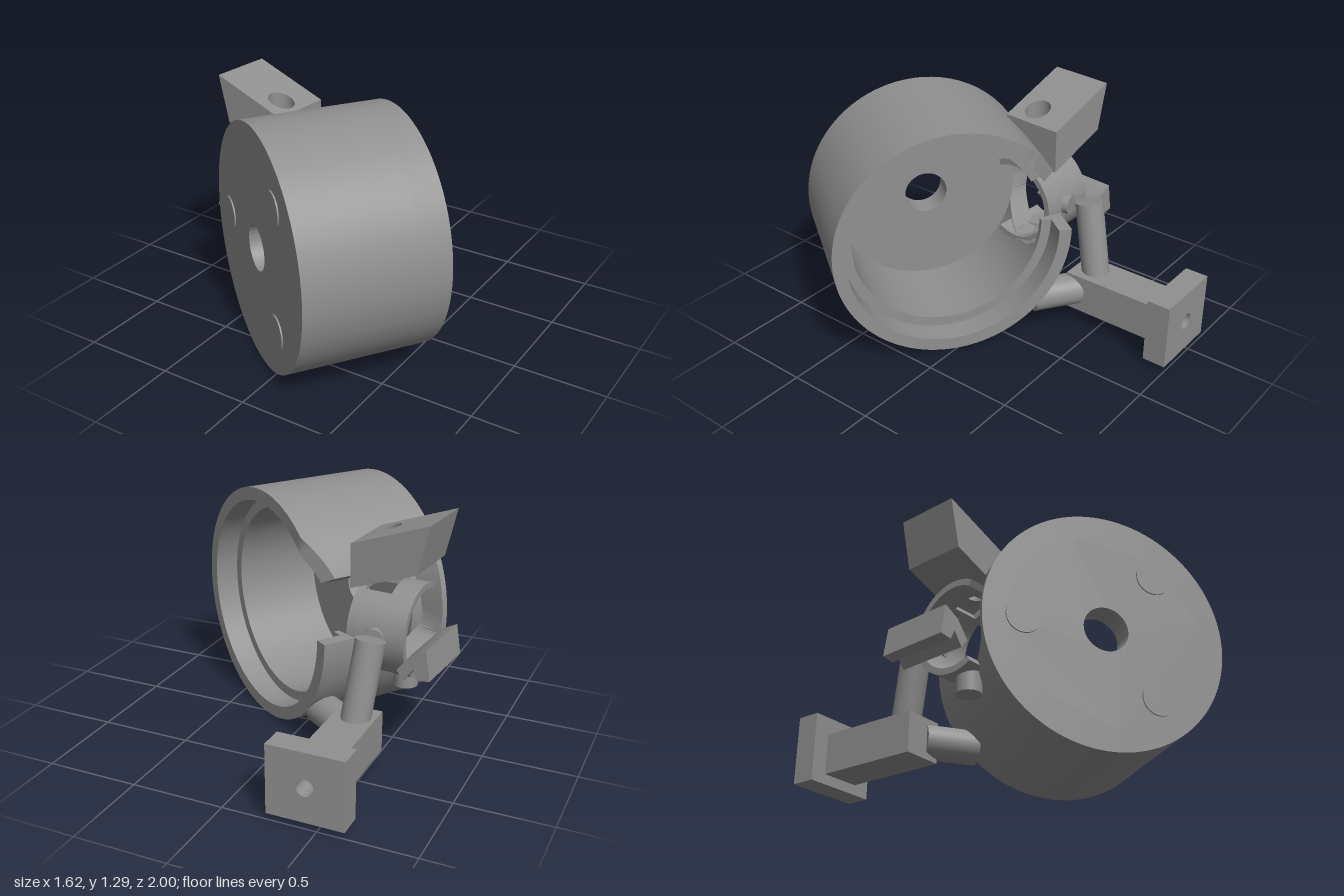
import * as THREE from 'three';
import { toCreasedNormals } from 'three/addons/utils/BufferGeometryUtils.js';

const grey = new THREE.MeshStandardMaterial({ color: 0x909090 });
grey.name = 'plain grey';

function add(parent, name, geometry) {
  const mesh = new THREE.Mesh(geometry, grey);
  mesh.name = name;
  parent.add(mesh);
  return mesh;
}

// Round bar between two points
function rod(parent, name, a, b, radius) {
  const p = new THREE.Vector3(...a), q = new THREE.Vector3(...b);
  const mesh = add(parent, name, new THREE.CylinderGeometry(radius, radius, p.distanceTo(q), 48));
  mesh.position.copy(p).lerp(q, 0.5);
  mesh.quaternion.setFromUnitVectors(new THREE.Vector3(0, 1, 0), q.sub(p).normalize());
}

function rectShape(w, h) {
  return new THREE.Shape([[-1, -1], [1, -1], [1, 1], [-1, 1]].map(([x, y]) => new THREE.Vector2(x * w / 2, y * h / 2)));
}

function withHole(shape, x, y, r) {
  shape.holes.push(new THREE.Path().absarc(x, y, r, 0, Math.PI * 2, true));
  return shape;
}

const extrude = (shape, depth) => toCreasedNormals(
  new THREE.ExtrudeGeometry(shape, { depth, bevelEnabled: false, curveSegments: 120 }), 0.5);

// Joins closed cross-sections, each a list of [x, y, z] points
function loft(sections) {
  const n = sections[0].length, pos = [];
  for (let i = 0; i < sections.length - 1; i++) {
    for (let j = 0; j < n; j++) {
      const k = (j + 1) % n, a = sections[i], b = sections[i + 1];
      pos.push(...a[j], ...b[j], ...a[k], ...a[k], ...b[j], ...b[k]);
    }
  }
  const g = new THREE.BufferGeometry();
  g.setAttribute('position', new THREE.Float32BufferAttribute(pos, 3));
  return toCreasedNormals(g, 0.5);
}

// A section shrunk to one point closes an end
const collapsed = section => section.map(() => section[0]);

// Cup dimensions; depth s runs from the closed face to the rim
const R = 0.645, INNER = 0.52, RIM = 0.575, DEPTH = 0.763, STEP = 0.63, FLOOR = 0.135;
const SIN = 0.571, COS = 0.821, FACE_Z = 0.627;
const clamp = THREE.MathUtils.clamp;

// Depth at which a wall line meets the world plane z
const depthAt = (r, phi, z) => (FACE_Z - SIN * r * Math.cos(phi) - z) / COS;

// Edges of the round side opening along one wall line
function opening(r, phi) {
  const dy = r * Math.sin(phi) - 0.025;
  const h = Math.cos(phi) > 0 ? Math.sqrt(Math.max(0, 0.0625 - dy * dy)) : 0;
  return [h, -h].map(d => clamp(depthAt(r, phi, 0.03 + d), 0.03, 0.6));
}

function buildCup() {
  const cup = new THREE.Group();
  cup.name = 'cup';
  cup.position.set(-0.162, R, FACE_Z);
  cup.rotation.y = -Math.atan2(SIN, COS);

  add(cup, 'floor', extrude(withHole(new THREE.Shape().absarc(0, 0, INNER, 0, Math.PI * 2), 0, 0, 0.12), FLOOR))
    .position.z = -FLOOR;

  // The wall is a front part and a rim part, parted by the side opening
  const front = [], rim = [];
  const section = (phi, upper, open) => {
    const pt = (r, s) => [-r * Math.cos(phi), r * Math.sin(phi), -s];
    const end = r => (upper ? Math.min(DEPTH, depthAt(r, phi, -0.235)) : DEPTH);
    const [[fo, bo], [fi, bi]] = [R, INNER].map(r => (
      open ? [clamp(depthAt(r, phi, 0.27), 0.03, 0.6), DEPTH] : opening(r, phi)));
    front.push([pt(R, 0), pt(R, fo), pt(INNER, fi), pt(INNER, 0)]);
    const so = Math.min(bo, end(R)), si = Math.min(bi, end(INNER));
    const step = Math.max(Math.min(STEP, end(RIM)), si);
    const loop = [pt(R, so), pt(R, end(R)), pt(RIM, end(RIM)), pt(RIM, step), pt(INNER, step), pt(INNER, si)];
    rim.push(open ? collapsed(loop) : loop);
  };
  // The notch through the rim lies between two steps above mid height
  const steps = 240, low = 120, high = 139;
  for (let i = 0; i <= steps; i++) {
    const phi = (i / steps * 2 - 1) * Math.PI;
    if (i <= low) section(phi, false, false);
    if (i >= low && i <= high) section(phi, true, true);
    if (i >= high) section(phi, true, false);
  }
  add(cup, 'frontWall', loft(front));
  add(cup, 'rimWall', loft(rim));

  // Raised discs on the closed face
  for (const [x, y] of [[0.272, 0.337], [-0.433, 0], [0.272, -0.337]]) {
    const disc = add(cup, 'faceDisc', new THREE.CylinderGeometry(0.092, 0.092, 0.03, 48));
    disc.rotation.x = Math.PI / 2;
    disc.position.set(x, y, -0.007);
  }
  return cup;
}

// Arc-shaped piece of the sleeve, opening towards +z
function sleevePiece(parent, from, to, a0, a1) {
  const sections = [];
  for (let i = 0; i <= 40; i++) {
    const a = a0 + (a1 - a0) * i / 40;
    const pt = (r, x) => [x, r * Math.sin(a), -r * Math.cos(a)];
    sections.push([pt(0.252, from), pt(0.252, to), pt(0.218, to), pt(0.218, from)]);
  }
  add(parent, 'sleeve', loft([collapsed(sections[0]), ...sections, collapsed(sections[40])]));
}

function buildBracket() {
  const bracket = new THREE.Group();
  bracket.name = 'sideBracket';

  // Sloping upper block with a vertical hole and a slanted outer end
  const g = new THREE.ExtrudeGeometry(withHole(rectShape(0.42, 0.35), 0.11, -0.04, 0.07),
    { depth: 0.235, bevelEnabled: false, curveSegments: 48 });
  g.rotateX(-Math.PI / 2);
  const p = g.attributes.position;
  for (let i = 0; i < p.count; i++) {
    const x = p.getX(i), y = p.getY(i);
    p.setY(i, y - 0.36 * x);
    if (x < -0.2 && y < 0.1) p.setXYZ(i, x + 0.06, y - 0.36 * (x + 0.06), p.getZ(i));
  }
  const upper = add(bracket, 'upperBlock', toCreasedNormals(g, 0.5));
  upper.position.set(-0.545, 0.98, -0.045);
  upper.rotation.y = -0.08;

  // Lower block
  const profile = [[-0.03, -0.065], [0.035, -0.075], [0.06, -0.02], [0.11, -0.09],
    [0.15, -0.04], [0.08, 0.05], [-0.005, 0.095]];
  const lg = extrude(new THREE.Shape(profile.map(q => new THREE.Vector2(...q))), 0.4);
  lg.translate(0, 0, -0.2);
  const lower = add(bracket, 'lowerBlock', lg);
  lower.position.set(-0.77, 0.575, -0.08);
  lower.rotation.y = -0.085;

  // Half sleeve, left open around the vertical hole
  const sleeve = new THREE.Group();
  sleeve.name = 'halfSleeve';
  sleeve.position.set(-0.48, 0.64, 0.05);
  sleeve.rotation.y = -0.085;
  bracket.add(sleeve);
  const full = 2.07;
  sleevePiece(sleeve, -0.16, -0.03, -full, full);
  sleevePiece(sleeve, -0.03, 0.12, -1.05, 1.05);
  sleevePiece(sleeve, -0.03, 0.12, 1.68, full);
  sleevePiece(sleeve, -0.03, 0.12, -full, -1.68);
  sleevePiece(sleeve, 0.12, 0.16, -full, full);

  rod(bracket, 'lowerStub', [-0.54, 0.3, 0.07], [-0.54, 0.43, 0.07], 0.065);
  rod(bracket, 'sleeveKnob', [-0.46, 0.655, -0.225], [-0.45, 0.655, -0.16], 0.055);
  return bracket;
}

function buildArm() {
  const arm = new THREE.Group();
  arm.name = 'rearArm';
  add(arm, 'armBar', new THREE.BoxGeometry(0.22, 0.22, 0.57)).position.set(-0.44, 0.197, -0.585);
  add(arm, 'endPlate', extrude(withHole(rectShape(0.405, 0.37), 0, 0, 0.045), 0.13)).position.set(-0.438, 0.217, -1);
  rod(arm, 'uprightRod', [-0.44, 0.2, -0.435], [-0.485, 0.7, -0.325], 0.077);
  rod(arm, 'crossRod', [-0.38, 0.2, -0.345], [-0.155, 0.2, -0.189], 0.09);
  return arm;
}

export function createModel() {
  const model = new THREE.Group();
  model.name = 'cupWithMountingArm';
  model.add(buildCup(), buildBracket(), buildArm());
  return model;
}
